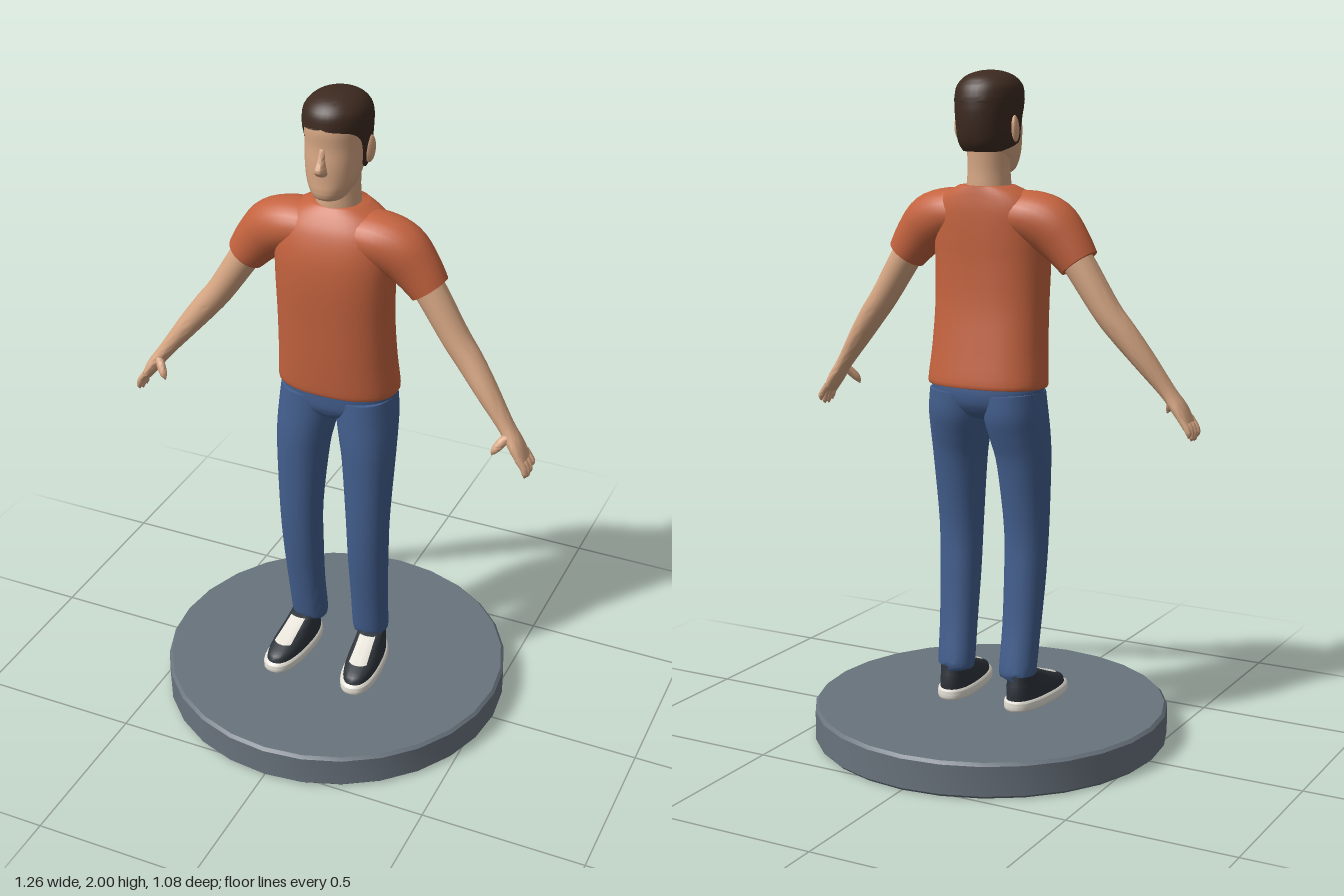
import * as THREE from 'three';
import { toCreasedNormals } from 'three/addons/utils/BufferGeometryUtils.js';

const paint = (name, color, side = THREE.FrontSide) => {
  const m = new THREE.MeshStandardMaterial({ color, side });
  m.name = name;
  return m;
};

// Ring across the body: [x, y, z, half width, half depth, half angle swept]
const ring = (y, front, back, rx, x = 0, sweep = Math.PI) =>
  [x, y, (front + back) / 2, rx, (front - back) / 2, sweep];
const limb = (x, y, z, r, rz) => [x, y, z, r, rz, Math.PI];

// Smooths a list of rings with a Catmull-Rom spline
function smooth(rings, steps) {
  const out = [];
  const at = i => rings[Math.min(Math.max(i, 0), rings.length - 1)];
  for (let i = 0; i < rings.length - 1; i++) {
    for (let s = 0; s < steps; s++) {
      const t = s / steps;
      out.push(at(i).map((b, k) => {
        const a = at(i - 1)[k], c = at(i + 1)[k], d = at(i + 2)[k];
        return b + 0.5 * t * (c - a + t * (2 * a - 5 * b + 4 * c - d + t * (3 * (b - c) + d - a)));
      }));
    }
  }
  out.push(at(rings.length - 1));
  return out;
}

// Skins the rings; partial sweeps are centred on angle mid and left open
function loft(rings, { power = 2, seg = 28, steps = 4, mid = -Math.PI / 2, caps = true } = {}) {
  const rows = smooth(rings, steps), pos = [], idx = [];
  const bend = v => Math.sign(v) * Math.pow(Math.abs(v), 2 / power);
  rows.forEach(([x, y, z, rx, rz, sweep], i) => {
    const p = rows[Math.max(i - 1, 0)], n = rows[Math.min(i + 1, rows.length - 1)];
    const tx = n[0] - p[0], ty = n[1] - p[1], len = Math.hypot(tx, ty) || 1;
    for (let j = 0; j <= seg; j++) {
      const a = mid + Math.min(sweep, Math.PI) * (2 * j / seg - 1);
      const u = bend(Math.cos(a)) * Math.max(rx, 0.0005);
      pos.push(x + u * ty / len, y - u * tx / len, z + bend(Math.sin(a)) * Math.max(rz, 0.0005));
    }
  });
  const w = seg + 1, last = (rows.length - 1) * w;
  for (let i = 0; i < rows.length - 1; i++) {
    for (let j = 0; j < seg; j++) {
      const a = i * w + j, c = a + w;
      idx.push(a, c, a + 1, c, c + 1, a + 1);
    }
  }
  if (caps) {
    const s = pos.length / 3;
    pos.push(...rows[0].slice(0, 3), ...rows[rows.length - 1].slice(0, 3));
    for (let j = 0; j < seg; j++) idx.push(s, j, j + 1, s + 1, last + j + 1, last + j);
  }
  const g = new THREE.BufferGeometry();
  g.setAttribute('position', new THREE.Float32BufferAttribute(pos, 3));
  g.setIndex(idx);
  return toCreasedNormals(g, 1);
}

export function createModel() {
  const model = new THREE.Group();
  const skin = paint('skin', 0xd6a683);
  const shirt = paint('shirt orange', 0xc4633f);
  const denim = paint('denim blue', 0x435f8e);
  const hairBrown = paint('hair brown', 0x3d2a20, THREE.DoubleSide);
  const shoeDark = paint('shoe charcoal', 0x2e343b);
  const white = paint('sole white', 0xe4e0d6, THREE.DoubleSide);
  const slate = paint('base slate', 0x69737d);
  const add = (name, geo, mat, parent = model) => {
    const m = new THREE.Mesh(geo, mat);
    m.name = name;
    parent.add(m);
    return m;
  };

  // Round display base with bevelled edges
  const baseProfile = [[0, 0], [0.53, 0], [0.538, 0.008], [0.538, 0.096], [0.529, 0.105], [0, 0.105]]
    .map(p => new THREE.Vector2(...p));
  add('base', toCreasedNormals(new THREE.LatheGeometry(baseProfile, 28), 0.5), slate);

  // Torso of the shirt
  add('shirtBody', loft([
    ring(1.088, 0.092, -0.13, 0.18), ring(1.1, 0.097, -0.135, 0.186), ring(1.2, 0.106, -0.12, 0.179),
    ring(1.32, 0.114, -0.104, 0.176), ring(1.44, 0.121, -0.1, 0.178), ring(1.53, 0.117, -0.102, 0.18),
    ring(1.6, 0.098, -0.102, 0.172), ring(1.645, 0.072, -0.098, 0.135), ring(1.672, 0.05, -0.094, 0.082),
  ], { power: 2.35, seg: 36 }), shirt);

  // Hips
  add('hips', loft([
    ring(1.12, 0.085, -0.12, 0.172), ring(1.07, 0.085, -0.124, 0.176), ring(1.03, 0.08, -0.115, 0.15),
    ring(1.0, 0.06, -0.09, 0.08), ring(0.985, 0.02, -0.05, 0.02),
  ], { power: 2.3 }), denim);

  // Neck and head
  add('neck', loft([
    ring(1.6, 0.045, -0.075, 0.066), ring(1.66, 0.052, -0.078, 0.066),
    ring(1.72, 0.05, -0.076, 0.062), ring(1.8, 0.05, -0.08, 0.064),
  ]), skin);
  add('head', loft([
    ring(1.7, 0.07, 0, 0.03), ring(1.712, 0.098, -0.02, 0.045), ring(1.732, 0.106, -0.04, 0.058),
    ring(1.765, 0.105, -0.065, 0.073), ring(1.81, 0.104, -0.09, 0.081), ring(1.86, 0.099, -0.105, 0.085),
    ring(1.91, 0.1, -0.108, 0.086), ring(1.95, 0.085, -0.095, 0.075), ring(1.98, 0.03, -0.03, 0.03),
  ], { power: 2.2 }), skin);
  add('nose', loft([
    ring(1.784, 0.108, 0.08, 0.012), ring(1.793, 0.124, 0.08, 0.018), ring(1.808, 0.132, 0.08, 0.016),
    ring(1.83, 0.119, 0.08, 0.011), ring(1.862, 0.102, 0.08, 0.009),
  ], { seg: 14 }), skin);

  // Short hair: full cap on top, opening around the face below the hairline
  add('hair', loft([
    ring(1.77, 0.1, -0.098, 0.074, 0, 0.95), ring(1.795, 0.104, -0.114, 0.085, 0, 1.7),
    ring(1.835, 0.106, -0.123, 0.089, 0, 1.8), ring(1.88, 0.106, -0.127, 0.092, 0, 1.95),
    ring(1.908, 0.106, -0.126, 0.094, 0, 2.35), ring(1.92, 0.106, -0.125, 0.095, 0, Math.PI),
    ring(1.955, 0.1, -0.114, 0.09), ring(1.982, 0.074, -0.086, 0.067),
    ring(1.996, 0.036, -0.045, 0.033), ring(2.0, -0.004, -0.005, 0.0005),
  ], { power: 2.1, seg: 36, caps: false }), hairBrown);

  for (const s of [1, -1]) {
    const side = s > 0 ? 'left' : 'right';
    const mirror = rings => rings.map(([x, ...rest]) => [s * x, ...rest]);
    const part = (name, rings, mat, opts) => add(side + name, loft(mirror(rings), opts), mat);

    // Ear
    const ear = add(side + 'Ear', new THREE.SphereGeometry(1, 16, 12), skin);
    ear.scale.set(0.011, 0.039, 0.022);
    ear.position.set(s * 0.09, 1.835, -0.022);
    ear.rotation.set(-0.15, s * -0.25, 0);

    // Sleeve and bare arm
    part('Sleeve', [
      limb(0.05, 1.585, 0, 0.07, 0.085), limb(0.13, 1.582, 0, 0.078, 0.09), limb(0.195, 1.557, 0, 0.084, 0.081),
      limb(0.245, 1.51, 0, 0.073, 0.067), limb(0.286, 1.457, 0.001, 0.06, 0.058),
    ], shirt);
    part('Arm', [
      limb(0.25, 1.505, 0, 0.048, 0.048), limb(0.295, 1.44, 0.002, 0.046, 0.047),
      limb(0.37, 1.325, 0.008, 0.041, 0.045), limb(0.42, 1.262, 0.016, 0.039, 0.042),
      limb(0.475, 1.192, 0.03, 0.033, 0.039), limb(0.545, 1.1, 0.048, 0.023, 0.03),
      limb(0.58, 1.052, 0.056, 0.021, 0.038), limb(0.606, 1.01, 0.058, 0.014, 0.04),
    ], skin);

    // Four curled fingers and a thumb
    [[0.026, 0.978], [0.047, 0.966], [0.069, 0.964], [0.09, 0.972]].forEach(([z, tip], i) => {
      part('Finger' + (i + 1), [
        limb(0.598, 1.025, z, 0.01, 0.0105), limb(0.617, 0.998, z, 0.0095, 0.01),
        limb(0.622, tip + 0.007, z, 0.008, 0.0085), limb(0.62, tip - 0.004, z, 0.001, 0.001),
      ], skin, { seg: 12 });
    });
    part('Thumb', [
      limb(0.563, 1.085, 0.066, 0.013, 0.015), limb(0.545, 1.062, 0.085, 0.014, 0.014),
      limb(0.531, 1.042, 0.096, 0.011, 0.011), limb(0.523, 1.026, 0.1, 0.001, 0.001),
    ], skin, { seg: 12 });

    // Trouser leg, as [y, front, back, inner, outer]
    part('Leg', [
      [1.07, 0.083, -0.124, 0.002, 0.176], [1, 0.088, -0.121, 0.004, 0.183], [0.93, 0.092, -0.1, 0.017, 0.186],
      [0.85, 0.091, -0.078, 0.03, 0.185], [0.65, 0.083, -0.048, 0.045, 0.177], [0.5, 0.069, -0.05, 0.048, 0.172],
      [0.35, 0.045, -0.06, 0.05, 0.166], [0.225, 0.024, -0.077, 0.049, 0.162], [0.21, 0.018, -0.072, 0.054, 0.158],
    ].map(([y, f, b, i, o]) => ring(y, f, b, (o - i) / 2, (o + i) / 2)), denim, { power: 2.2 });

    // Shoe, turned slightly outward
    const shoe = new THREE.Group();
    shoe.name = side + 'Shoe';
    shoe.position.x = s * 0.118;
    shoe.rotation.y = s * 0.09;
    model.add(shoe);
    const upper = [
      ring(0.13, 0.195, -0.076, 0.051), ring(0.155, 0.184, -0.077, 0.05), ring(0.175, 0.14, -0.075, 0.047),
      ring(0.195, 0.085, -0.071, 0.043), ring(0.215, 0.035, -0.068, 0.041),
    ];
    add('sole', loft([
      ring(0.105, 0.2, -0.08, 0.054), ring(0.112, 0.206, -0.083, 0.058),
      ring(0.13, 0.206, -0.083, 0.058), ring(0.137, 0.201, -0.08, 0.054),
    ], { power: 2.5 }), white, shoe);
    add('shoeUpper', loft(upper, { power: 2.4 }), shoeDark, shoe);
    const tongue = upper.slice(2).map(([x, y, z, rx, rz]) => [x, y, z, rx + 0.003, rz + 0.004, 0.55]);
    add('shoeTongue', loft(tongue, { power: 2.4, seg: 10, mid: Math.PI / 2, caps: false }), white, shoe);
  }
  return model;
}
